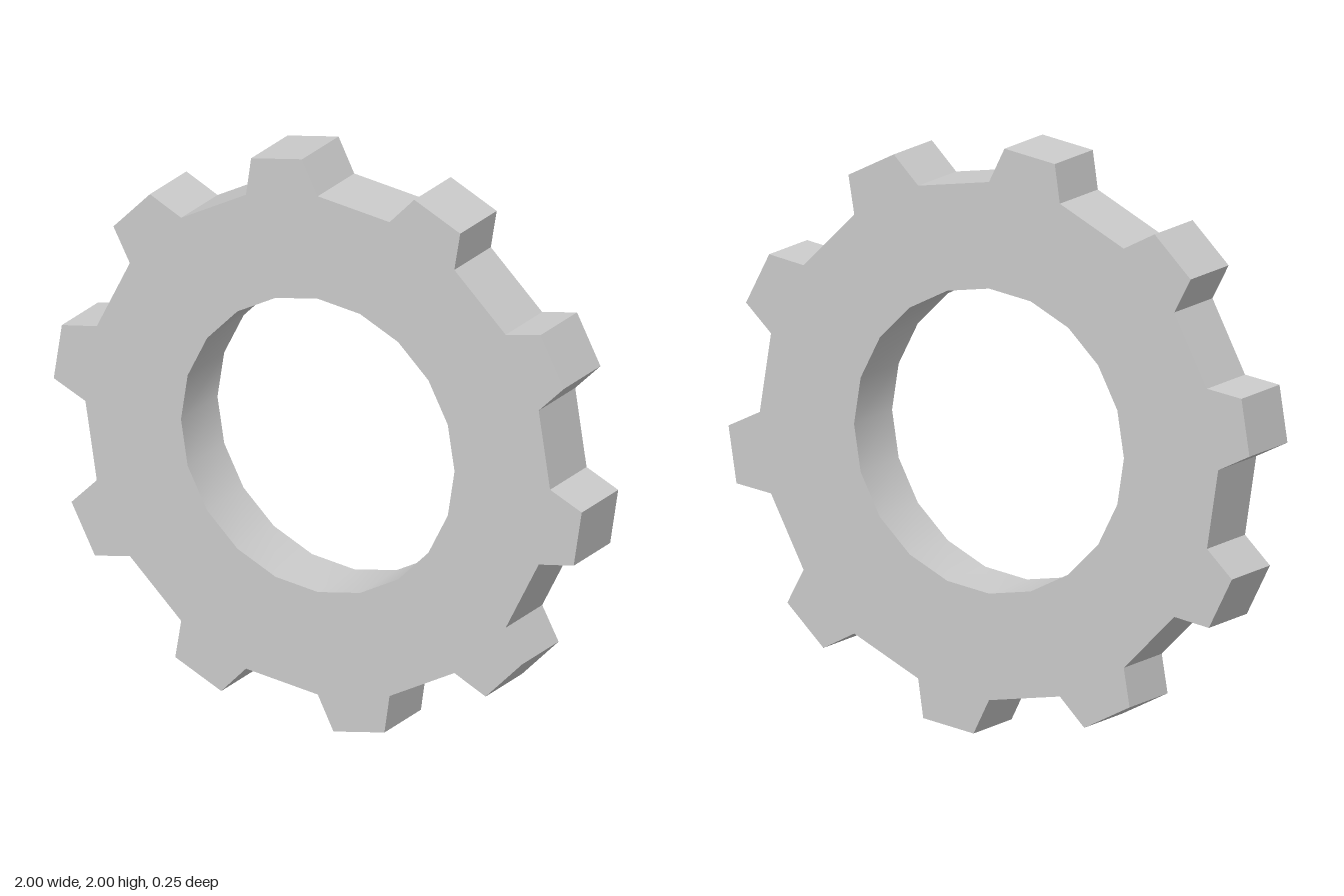
import * as THREE from 'three';
import { toCreasedNormals } from 'three/addons/utils/BufferGeometryUtils.js';

const TEETH = 10;
const ROOT_R = 0.88, TIP_R = 1.0017, HOLE_R = 0.518, THICKNESS = 0.25;

// Point on a circle, angle in degrees
function polar(radius, degrees) {
  const a = THREE.MathUtils.degToRad(degrees);
  return new THREE.Vector2(radius * Math.cos(a), radius * Math.sin(a));
}

export function createModel() {
  const group = new THREE.Group();
  group.name = 'gear';

  // Toothed rim: each tooth tapers from an 18 degree root to a narrower tip
  const outline = [];
  for (let i = 0; i < TEETH; i++) {
    const centre = -9 + i * 360 / TEETH;
    outline.push(
      polar(ROOT_R, centre - 9),
      polar(TIP_R, centre - 5.6),
      polar(TIP_R, centre + 5.6),
      polar(ROOT_R, centre + 9)
    );
  }
  const shape = new THREE.Shape(outline);

  // Twenty-sided central bore
  const bore = [];
  for (let i = 0; i < 20; i++) bore.push(polar(HOLE_R, -i * 18));
  shape.holes.push(new THREE.Path(bore));

  const extruded = new THREE.ExtrudeGeometry(shape, { depth: THICKNESS, bevelEnabled: false });
  extruded.translate(0, 1, -THICKNESS / 2);

  // Smooth bore wall, sharp teeth
  const geometry = toCreasedNormals(extruded, THREE.MathUtils.degToRad(25));
  const wheel = new THREE.Mesh(geometry, new THREE.MeshStandardMaterial({ color: 0xcccccc }));
  wheel.name = 'gearWheel';
  group.add(wheel);

  return group;
}
